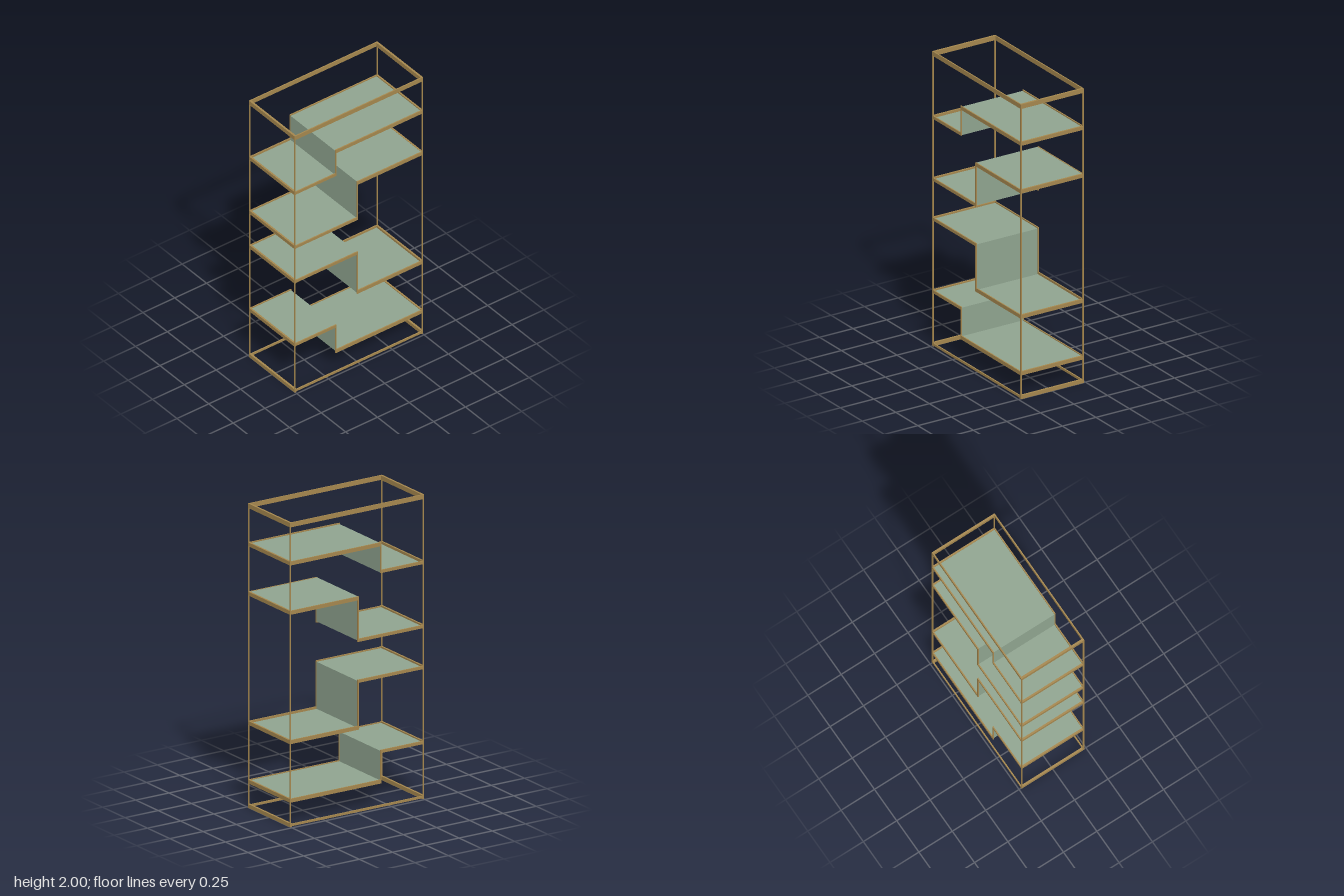
import * as THREE from 'three';

const brass = new THREE.MeshStandardMaterial({ color: 0xa6884e });
const glass = new THREE.MeshStandardMaterial({ color: 0x90a590 });
const X = 0.235, Z = 0.505, BAR = 0.008;

// Box given by its minimum and maximum corners
function box(parent, name, material, min, max) {
  const size = max.map((v, i) => v - min[i]);
  const mesh = new THREE.Mesh(new THREE.BoxGeometry(...size), material);
  mesh.position.set(...max.map((v, i) => (v + min[i]) / 2));
  mesh.name = name;
  parent.add(mesh);
}

// Rails across the front and back, at their own heights
function crossRail(parent, name, side, y0, y1, depth) {
  const z = side * (Z - depth / 2);
  box(parent, name, brass, [-X, y0, z - depth / 2], [X, y1, z + depth / 2]);
}

// Stepped panel with a trim bar along each side
function steppedShelf({ step, front, back, panelFront, panelBack }) {
  const shelf = new THREE.Group();
  shelf.name = 'steppedShelf';
  const t = 0.002, w = X - BAR, h = 0.0125;

  box(shelf, 'frontPanel', glass, [-w, panelFront - t, step - t], [w, panelFront + t, Z - 0.012]);
  box(shelf, 'backPanel', glass, [-w, panelBack - t, -Z + 0.012], [w, panelBack + t, step + t]);
  const low = Math.min(panelFront, panelBack), high = Math.max(panelFront, panelBack);
  box(shelf, 'riserPanel', glass, [-w, low - t, step - t], [w, high + t, step + t]);

  for (const s of [-1, 1]) {
    const x0 = s * X - (s > 0 ? BAR : 0), x1 = x0 + BAR;
    box(shelf, 'frontSideTrim', brass, [x0, front - 0.01, step - 0.004], [x1, front + 0.01, Z]);
    box(shelf, 'backSideTrim', brass, [x0, back - h, -Z], [x1, back + h, step + 0.004]);
    box(shelf, 'riserTrim', brass,
      [x0, Math.min(front, back) - 0.01, step - 0.004], [x1, Math.max(front, back) + 0.01, step + 0.004]);
  }
  crossRail(shelf, 'frontTrim', 1, front - h, front + h, 0.012);
  crossRail(shelf, 'backTrim', -1, back - h, back + h, 0.012);
  return shelf;
}

export function createModel() {
  const model = new THREE.Group();
  model.name = 'steppedBookcase';

  // Corner posts and the long side rails
  const frame = new THREE.Group();
  frame.name = 'frame';
  for (const s of [-1, 1]) {
    const x0 = s * X - (s > 0 ? BAR : 0), x1 = x0 + BAR;
    for (const f of [-1, 1]) {
      const z0 = f * Z - (f > 0 ? BAR : 0);
      box(frame, 'cornerPost', brass, [x0, 0, z0], [x1, 2, z0 + BAR]);
    }
    box(frame, 'topSideRail', brass, [x0, 1.97, -Z], [x1, 2, Z]);
    box(frame, 'bottomSideRail', brass, [x0, 0.005, -Z], [x1, 0.02, Z]);
    crossRail(frame, 'topCrossRail', s, 1.97, 2, 0.014);
    crossRail(frame, 'bottomCrossRail', s, 0, 0.025, 0.014);
  }
  model.add(frame);

  // Four shelves: the upper two step up to the back, the lower two step down
  [
    { step: 0.18, front: 1.553, back: 1.732, panelFront: 1.547, panelBack: 1.735 },
    { step: 0.01, front: 1.132, back: 1.408, panelFront: 1.132, panelBack: 1.417 },
    { step: 0.01, front: 0.863, back: 0.558, panelFront: 0.863, panelBack: 0.554 },
    { step: 0.18, front: 0.37, back: 0.173, panelFront: 0.372, panelBack: 0.178 },
  ].forEach((spec) => model.add(steppedShelf(spec)));

  return model;
}
